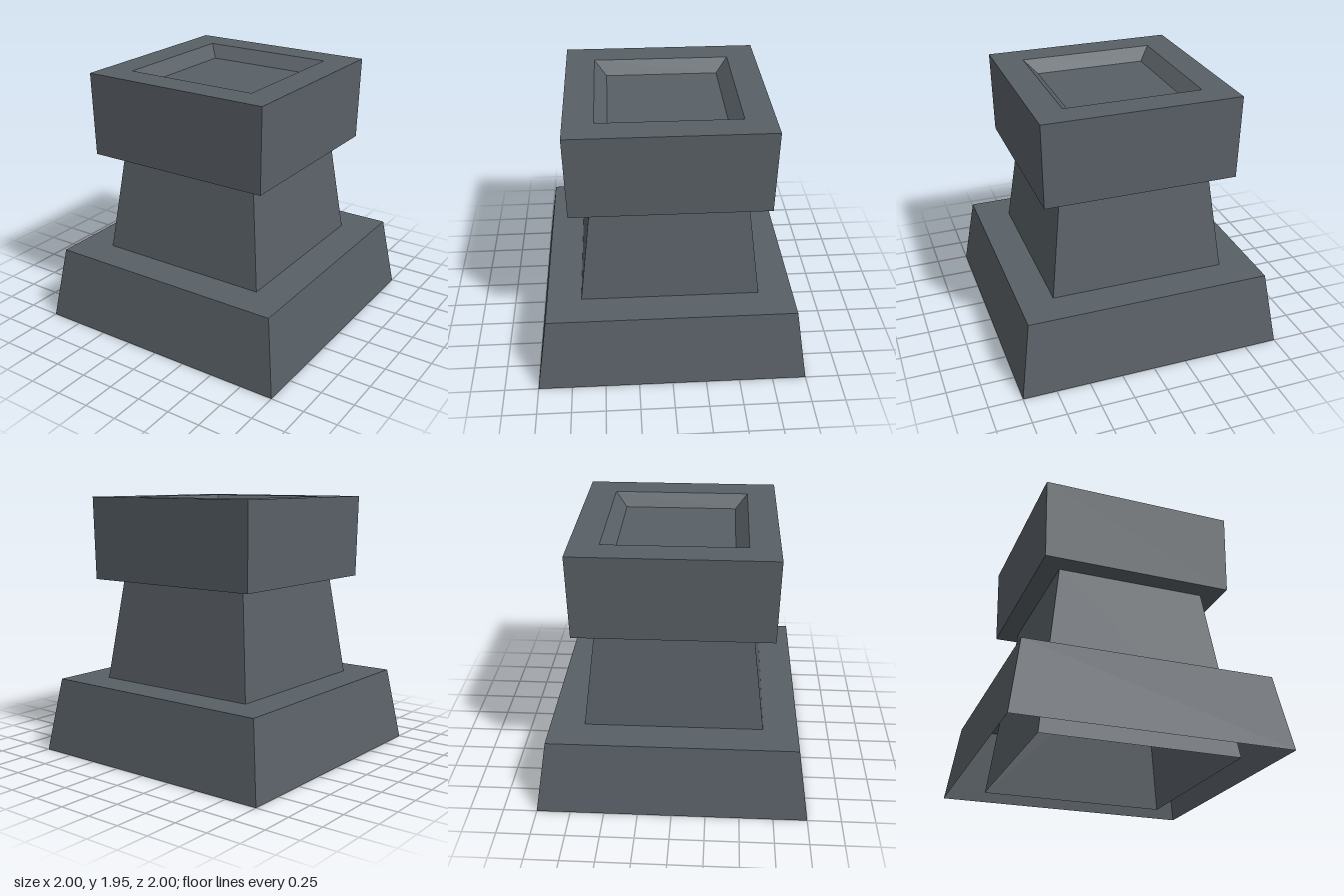
import * as THREE from 'three';

const stone = new THREE.MeshStandardMaterial({ color: 0x596066, flatShading: true, side: THREE.DoubleSide });
stone.name = 'slate grey';

// Square part from a profile of [half width, height] points, bottom to top
function squarePart(name, profile) {
  const points = profile.map(([half, y]) => new THREE.Vector2(half * Math.SQRT2, y));
  const geometry = new THREE.LatheGeometry(points, 4, Math.PI / 4).toNonIndexed();
  geometry.computeVertexNormals();
  const mesh = new THREE.Mesh(geometry, stone);
  mesh.name = name;
  return mesh;
}

export function createModel() {
  const model = new THREE.Group();
  model.name = 'squarePedestal';
  model.add(
    // Sloped plinth, open underneath, with a closed top
    squarePart('base', [[1, 0], [0.915, 0.56], [0, 0.56]]),
    // Tapered shaft running down through the plinth, open at both ends
    squarePart('shaft', [[0.73, 0], [0.565, 1.33]]),
    // Block on top with a bevelled square recess
    squarePart('cap', [[0, 1.33], [0.715, 1.33], [0.725, 1.95], [0.51, 1.95], [0.42, 1.86], [0, 1.86]])
  );
  return model;
}
